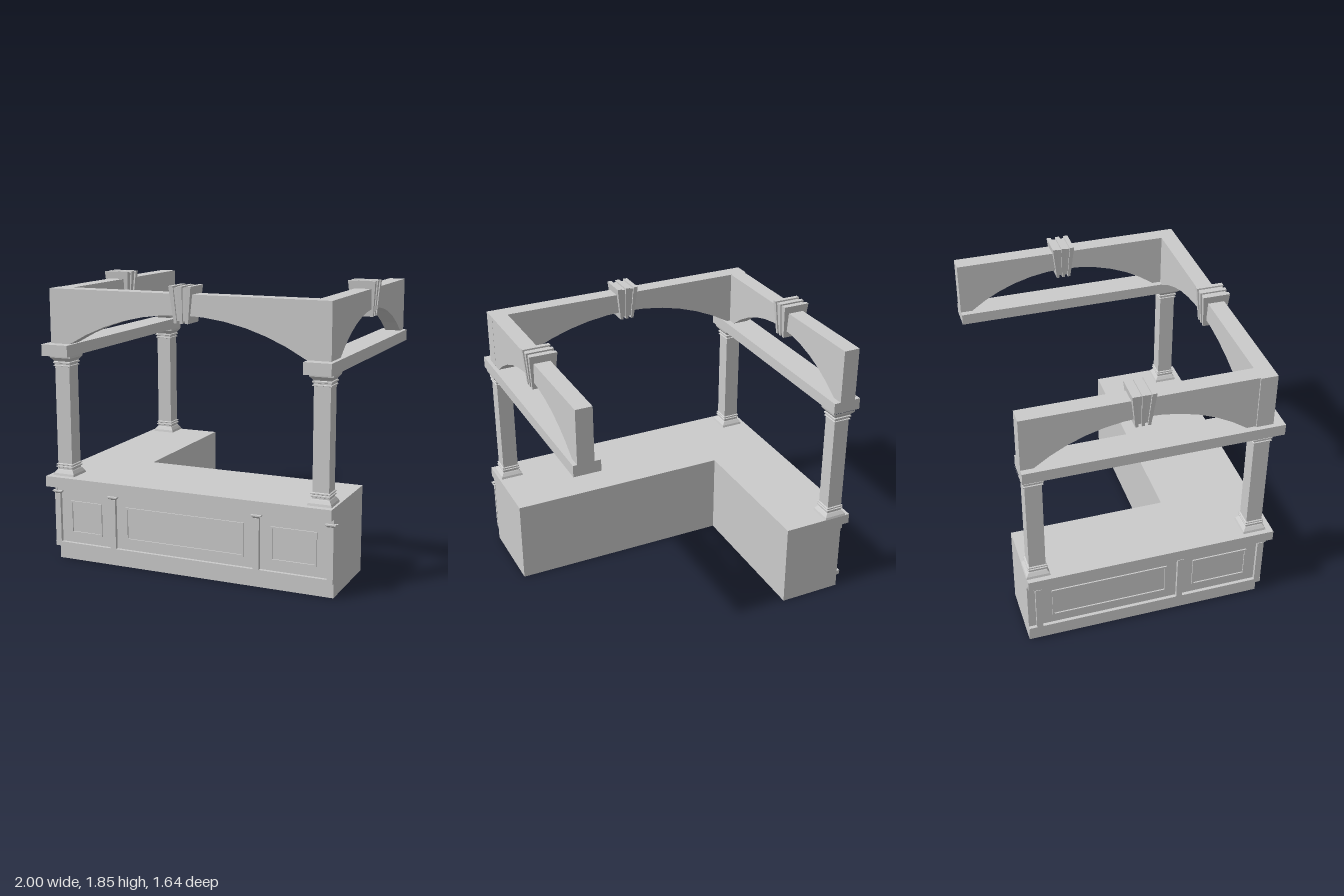
import * as THREE from 'three';

const grey = new THREE.MeshStandardMaterial({ color: 0xcccccc, flatShading: true });

function add(parent, name, geometry) {
  const mesh = new THREE.Mesh(geometry, grey);
  mesh.name = name;
  parent.add(mesh);
  return mesh;
}

// Box given by its lower and upper limits
function block(parent, name, [x0, x1], [y0, y1], [z0, z1]) {
  const g = new THREE.BoxGeometry(x1 - x0, y1 - y0, z1 - z0);
  g.translate((x0 + x1) / 2, (y0 + y1) / 2, (z0 + z1) / 2);
  return add(parent, name, g);
}

// L-shaped slab; left and front edges vary, the other edges are shared
function lSlab(left, front, y0, y1) {
  const pts = [[left, front], [0.98, front], [0.98, 0.21], [-0.52, 0.21], [-0.52, -0.82], [left, -0.82]];
  const shape = new THREE.Shape(pts.map(([x, z]) => new THREE.Vector2(x, -z)));
  const g = new THREE.ExtrudeGeometry(shape, { depth: y1 - y0, bevelEnabled: false });
  return g.rotateX(-Math.PI / 2).translate(0, y0, 0);
}

// Square column turned from a four-sided profile of [half width, height]
function column(x, z) {
  const half = [
    [0.078, 0.57], [0.074, 0.585], [0.06, 0.605], [0.055, 0.61], [0.055, 0.62], [0.062, 0.623], [0.062, 0.63],
    [0.055, 0.633], [0.055, 0.637], [0.061, 0.64], [0.061, 0.646], [0.053, 0.65],
    [0.053, 1.295], [0.061, 1.297], [0.061, 1.303], [0.055, 1.306], [0.055, 1.314], [0.063, 1.317],
    [0.063, 1.326], [0.056, 1.33], [0.06, 1.337], [0.076, 1.355], [0.078, 1.37],
  ];
  const g = new THREE.LatheGeometry(half.map(([w, y]) => new THREE.Vector2(w * Math.SQRT2, y)), 4);
  return g.rotateY(Math.PI / 4).translate(x, 0, z);
}

// Beam with a segmental arch cut from its lower edge; runs along x, centred in depth
function archBeam(x0, x1, s0, s1, depth) {
  const spring = 1.445, rise = 0.225, mid = (s0 + s1) / 2, w = (s1 - s0) / 2;
  const R = (w * w + rise * rise) / (2 * rise);
  const a = Math.asin(w / R);
  const shape = new THREE.Shape();
  shape.moveTo(x1, spring);
  shape.lineTo(x1, 1.8);
  shape.lineTo(x0, 1.8);
  shape.lineTo(x0, spring);
  const steps = 12;
  for (let i = 0; i <= steps; i++) {
    const t = -a + (2 * a * i) / steps;
    shape.lineTo(mid + R * Math.sin(t), spring + rise - R + R * Math.cos(t));
  }
  return new THREE.ExtrudeGeometry(shape, { depth, bevelEnabled: false }).translate(0, 0, -depth / 2);
}

// Keystone of five ribs that narrow downwards, alternately raised and sunk
function keystone(name) {
  const group = new THREE.Group();
  group.name = name;
  for (let i = -2; i <= 2; i++) {
    const sunk = Math.abs(i) === 1;
    const y0 = sunk ? 1.635 : 1.62, y1 = sunk ? 1.84 : 1.85;
    const g = new THREE.BoxGeometry(0.03, y1 - y0, sunk ? 0.16 : 0.182);
    g.translate(i * 0.03, (y0 + y1) / 2, 0);
    const p = g.attributes.position;
    for (let k = 0; k < p.count; k++) {
      const t = (1.85 - p.getY(k)) / 0.23;
      p.setX(k, p.getX(k) * (1 - 0.36 * t));
      p.setZ(k, p.getZ(k) * (1 - 0.2 * t));
    }
    add(group, 'keystoneRib', g);
  }
  return group;
}

// Panelled facing along x with its back at z = 0; pilasters at the given positions
function facing(name, x0, x1, posts) {
  const group = new THREE.Group();
  group.name = name;
  block(group, 'bottomRail', [x0, x1], [0.09, 0.12], [0, 0.022]);
  block(group, 'topRail', [x0, x1], [0.47, 0.5], [0, 0.01]);
  posts.forEach((p, i) => {
    block(group, 'pilaster', [p - 0.02, p + 0.02], [0.12, 0.45], [0, 0.022]);
    // flared pilaster cap
    const cap = new THREE.CylinderGeometry(0.034 * Math.SQRT2, 0.02 * Math.SQRT2, 0.014, 4);
    cap.rotateY(Math.PI / 4).scale(1, 1, 0.8).translate(p, 0.457, 0.002);
    add(group, 'pilasterCap', cap);
    block(group, 'pilasterCapPlate', [p - 0.034, p + 0.034], [0.462, 0.47], [0, 0.03]);
    if (i === posts.length - 1) return;
    // raised rectangular moulding in the panel
    const a = p + 0.09, b = posts[i + 1] - 0.09, c = 0.185, d = 0.405, t = 0.012;
    const rect = (Path, k) => new Path([[a + k, c + k], [b - k, c + k], [b - k, d - k], [a + k, d - k]]
      .map(([x, y]) => new THREE.Vector2(x, y)));
    const frame = rect(THREE.Shape, 0);
    frame.holes.push(rect(THREE.Path, t));
    add(group, 'panelMoulding', new THREE.ExtrudeGeometry(frame, { depth: 0.009, bevelEnabled: false }));
  });
  return group;
}

export function createModel() {
  const model = new THREE.Group();
  model.name = 'counterWithArches';

  // L-shaped counter
  add(model, 'counterBody', lSlab(-0.94, 0.76, 0, 0.5));
  add(model, 'counterTop', lSlab(-1, 0.82, 0.5, 0.57));

  const front = facing('frontPanels', -0.96, 0.98, [-0.937, -0.525, 0.48, 0.962]);
  front.position.z = 0.76;
  const side = facing('sidePanels', -0.82, 0.78, [-0.75, 0.2, 0.755]);
  side.rotation.y = -Math.PI / 2;
  side.position.x = -0.94;
  model.add(front, side);

  // Three columns standing on the counter
  for (const [x, z] of [[-0.89, 0.7], [0.887, 0.7], [-0.89, -0.745]]) add(model, 'column', column(x, z));

  // Front arch
  const frontArch = add(model, 'frontArch', archBeam(-0.97, 0.94, -0.83, 0.785, 0.11));
  frontArch.position.z = 0.695;
  const frontKey = keystone('frontKeystone');
  frontKey.position.set(-0.025, 0, 0.695);
  model.add(frontKey);

  // Side ledges, arches and keystones
  for (const [label, l0, l1, x, keyX] of [['right', -1, -0.81, -0.907, -0.907], ['left', 0.79, 0.965, 0.885, 0.876]]) {
    block(model, label + 'Ledge', [l0, l1], [1.37, 1.445], [-0.82, 0.82]);
    const arch = add(model, label + 'Arch', archBeam(-0.82, 0.64, -0.74, 0.58, 0.108));
    arch.rotation.y = -Math.PI / 2;
    arch.position.x = x;
    const key = keystone(label + 'Keystone');
    key.rotation.y = -Math.PI / 2;
    key.position.set(keyX, 0, -0.085);
    model.add(key);
  }
  return model;
}
